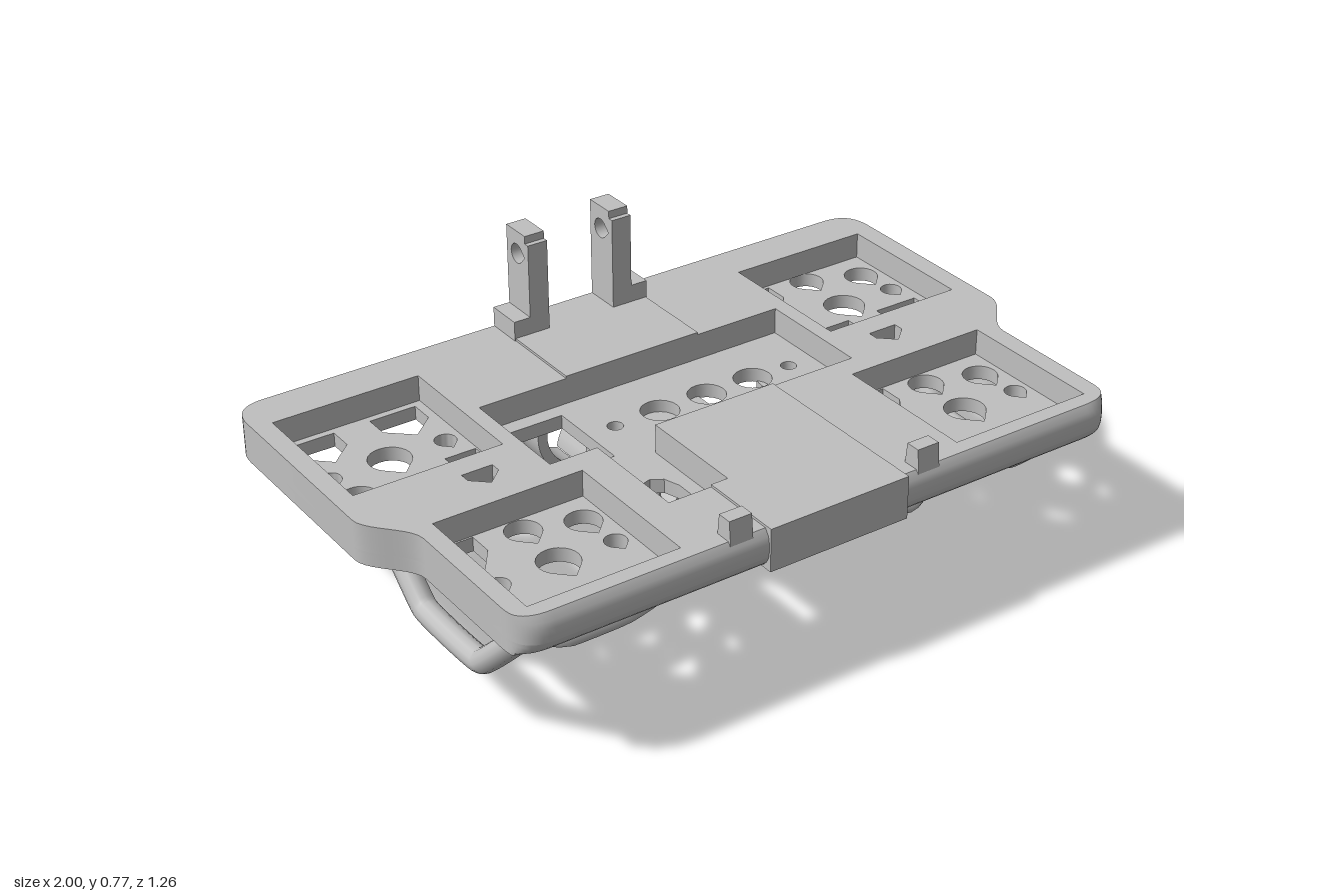
import * as THREE from 'three';
import { toCreasedNormals } from 'three/addons/utils/BufferGeometryUtils.js';

const grey = new THREE.MeshStandardMaterial({ color: 0xc0c0c0 });
grey.name = 'grey';

const BOTTOM = 0.365, FLOOR = 0.405, TOP = 0.48;
const RING_Y = 0.152, RING_R = 0.152, RING_IN = 0.122;

// Plan points are [x, z]; shapes lie flat after the rotation in slab()
const plan = pts => pts.map(([x, z]) => new THREE.Vector2(x, -z));
const path = pts => new THREE.Path(plan(pts));
const rect = (x0, x1, z0, z1) => path([[x0, z0], [x1, z0], [x1, z1], [x0, z1]]);

// Round hole with a pointed end towards +z
function dropPoints(cx, cz, r) {
  const pts = [[cx, cz + r * 1.41]];
  for (let i = 0; i <= 18; i++) {
    const a = Math.PI / 4 + (i / 18) * 1.5 * Math.PI;
    pts.push([cx + r * Math.sin(a), cz + r * Math.cos(a)]);
  }
  return pts;
}
const drop = (x, z, r) => path(dropPoints(x, z, r));
const round = (x, z, r) => new THREE.Path().absarc(x, -z, r, 0, Math.PI * 2);

// Five-sided hole: flat at the back, pointed at the front
const pentagon = (x0, x1, z0, z1, z2) =>
  path([[x0, z0], [x1, z0], [x1, z1], [(x0 + x1) / 2, z2], [x0, z1]]);

// Plate outline (counter-clockwise), wide at the back and stepping in towards the front
function outline() {
  const s = new THREE.Shape();
  s.moveTo(0.91, 0.632);
  s.lineTo(-0.91, 0.632);
  s.quadraticCurveTo(-1, 0.632, -1, 0.54);
  s.lineTo(-1, -0.01);
  s.bezierCurveTo(-1, -0.07, -0.9, -0.12, -0.9, -0.18);
  s.lineTo(-0.9, -0.53);
  s.quadraticCurveTo(-0.9, -0.622, -0.81, -0.622);
  s.lineTo(0.81, -0.622);
  s.quadraticCurveTo(0.9, -0.622, 0.9, -0.53);
  s.lineTo(0.9, -0.18);
  s.bezierCurveTo(0.9, -0.12, 1, -0.07, 1, -0.01);
  s.lineTo(1, 0.54);
  s.quadraticCurveTo(1, 0.632, 0.91, 0.632);
  return s;
}

// One layer of the plate; the front edge is rounded, more so underneath
function slab(holes, y0, y1) {
  const shape = outline();
  shape.holes.push(...holes);
  const geo = new THREE.ExtrudeGeometry(shape, { depth: y1 - y0, steps: 4, bevelEnabled: false, curveSegments: 10 });
  geo.rotateX(-Math.PI / 2).translate(0, y0, 0);
  const p = geo.attributes.position, mid = (BOTTOM + TOP) / 2, half = (TOP - BOTTOM) / 2;
  for (let i = 0; i < p.count; i++) {
    const z = p.getZ(i);
    const t = THREE.MathUtils.clamp((z - 0.565) / 0.057, 0, 1);
    const k = (p.getY(i) - mid) / half;
    const inset = k > 0 ? 0.018 : 0.048;
    p.setZ(i, z - t * inset * (1 - Math.sqrt(Math.max(0, 1 - k * k))));
  }
  return toCreasedNormals(geo, 0.6);
}

// Curved shell around the clamp axis; spread(z) gives its half angle from the top
function shell(z0, z1, spread, steps) {
  const geo = new THREE.BoxGeometry(1, 1, 1, 48, 1, steps);
  const p = geo.attributes.position;
  for (let i = 0; i < p.count; i++) {
    const z = THREE.MathUtils.lerp(z0, z1, p.getZ(i) + 0.5);
    const a = p.getX(i) * 2 * spread(z);
    const r = p.getY(i) > 0 ? RING_R : RING_IN;
    p.setXYZ(i, r * Math.sin(a), RING_Y + r * Math.cos(a), z);
  }
  return toCreasedNormals(geo, 0.6);
}

// Bridge between clamp and plate, hollowed along the bottom; flare widens its top
function bridge(flare, z0, z1) {
  const s = new THREE.Shape();
  s.moveTo(0.13 + flare, 0.37);
  s.lineTo(-0.13 - flare, 0.37);
  if (flare) s.lineTo(-0.13, 0.32);
  s.lineTo(-0.13, 0.237);
  s.absarc(0, RING_Y, 0.123, Math.PI - 0.76, 0.76, true);
  s.lineTo(0.13, 0.237);
  if (flare) s.lineTo(0.13, 0.32);
  s.closePath();
  const geo = new THREE.ExtrudeGeometry(s, { depth: z1 - z0, bevelEnabled: false, curveSegments: 20 });
  return toCreasedNormals(geo.translate(0, 0, z0), 0.6);
}

export function createModel() {
  const group = new THREE.Group();
  const add = (name, geo) => {
    const mesh = new THREE.Mesh(geo, grey);
    mesh.name = name;
    group.add(mesh);
    return mesh;
  };
  const box = (name, x0, x1, y0, y1, z0, z1) =>
    add(name, new THREE.BoxGeometry(x1 - x0, y1 - y0, z1 - z0)
      .translate((x0 + x1) / 2, (y0 + y1) / 2, (z0 + z1) / 2));
  const rod = (name, r, pts) => {
    const curve = new THREE.CatmullRomCurve3(pts.map(p => new THREE.Vector3(...p)), false, 'catmullrom', 0.15);
    add(name, new THREE.TubeGeometry(curve, 48, r, 12));
  };

  // Holes passing through both layers
  const through = () => [-0.637, 0.637].map(x => pentagon(x - 0.044, x + 0.044, -0.015, 0.015, 0.055));

  // Upper layer with the sunken trays
  add('plateRim', slab([
    rect(-0.945, -0.52, -0.51, -0.085), rect(0.515, 0.94, -0.51, -0.085),
    rect(-0.85, -0.425, 0.135, 0.56), rect(0.418, 0.845, 0.135, 0.56),
    path([[-0.475, -0.275], [0.47, -0.275], [0.47, 0.065], [-0.16, 0.065],
      [-0.16, 0.38], [-0.335, 0.38], [-0.335, 0.065], [-0.475, 0.065]]),
    ...through()], FLOOR, TOP));

  // Lower layer with the small cut-outs
  const drops = [
    [-0.9, -0.295, 0.03], [-0.567, -0.295, 0.03], [-0.73, -0.295, 0.058], [-0.88, -0.18, 0.048], [-0.73, -0.12, 0.048],
    [0.727, -0.47, 0.048], [0.877, -0.41, 0.048], [0.565, -0.295, 0.03], [0.895, -0.295, 0.03], [0.727, -0.295, 0.058],
    [-0.63, 0.185, 0.048], [-0.485, 0.23, 0.048], [-0.8, 0.35, 0.03], [-0.47, 0.35, 0.03], [-0.63, 0.345, 0.056],
    [0.63, 0.185, 0.048], [0.78, 0.23, 0.048], [0.465, 0.35, 0.03], [0.8, 0.35, 0.03], [0.63, 0.345, 0.056],
  ].map(d => drop(...d));
  const pentagons = [
    [-0.915, -0.785, -0.49, -0.42, -0.36], [-0.68, -0.545, -0.49, -0.42, -0.36], [-0.615, -0.525, -0.215, -0.15, -0.09],
    [0.518, 0.615, -0.5, -0.43, -0.365], [0.545, 0.68, -0.215, -0.17, -0.105], [0.78, 0.915, -0.215, -0.17, -0.105],
    [-0.845, -0.745, 0.14, 0.21, 0.28], [0.42, 0.52, 0.14, 0.21, 0.28],
  ].map(d => pentagon(...d));
  const rounds = [[-0.17, 0.022], [-0.03, 0.053], [0.12, 0.053], [0.27, 0.053], [0.39, 0.022]]
    .map(([x, r]) => round(x, -0.105, r));
  add('plateFloor', slab([
    ...drops, ...pentagons, ...rounds, ...through(),
    rect(-0.47, -0.255, -0.23, 0.02),
    path([[-0.325, 0.378], [-0.2, 0.378], [-0.2, 0.23], [-0.215, 0.185], [-0.245, 0.165],
      [-0.28, 0.175], [-0.305, 0.21]]),
  ], BOTTOM, FLOOR));

  // Slightly raised middle panels and the square front block
  box('backPanel', -0.21, 0.21, TOP - 0.01, 0.487, -0.632, -0.275);
  box('middlePanel', -0.16, 0.21, TOP - 0.01, 0.487, 0.065, 0.38);
  box('frontPanel', -0.21, 0.21, TOP - 0.01, 0.487, 0.38, 0.575);
  box('frontBlock', -0.21, 0.21, BOTTOM, 0.487, 0.565, 0.627);

  for (const s of [-1, 1]) {
    // Upright with cross hole, and its outer foot
    const post = new THREE.Shape([[-0.632, 0.46], [-0.525, 0.46], [-0.525, 0.75], [-0.54, 0.75],
      [-0.54, 0.772], [-0.632, 0.772]].map(p => new THREE.Vector2(...p)));
    post.holes.push(new THREE.Path(dropPoints(0, 0, 0.028)
      .map(([a, b]) => new THREE.Vector2(-0.583 + b, 0.705 + a))));
    const postGeo = new THREE.ExtrudeGeometry(post, { depth: 0.06, bevelEnabled: false });
    postGeo.rotateY(-Math.PI / 2).translate(s * 0.133 + 0.03, 0, 0);
    add('post', toCreasedNormals(postGeo, 0.6));
    box('postFoot', s * 0.187 - 0.026, s * 0.187 + 0.026, 0.46, 0.537, -0.632, -0.525);

    // Tapered locating peg
    const peg = box('frontPeg', s * 0.285 - 0.033, s * 0.285 + 0.033, 0.47, 0.537, 0.558, 0.613);
    const p = peg.geometry.attributes.position;
    for (let i = 0; i < p.count; i++) if (p.getY(i) > 0.5) p.setZ(i, 0.586 + (p.getZ(i) - 0.586) * 0.75);
    peg.geometry.computeVertexNormals();

    // Bent rods fanning out from the clamp, ending differently on each side
    const inner = [[s * 0.1, 0.32, -0.06], [s * 0.24, 0.285, 0.09], [s * 0.33, 0.19, 0.17], [s * 0.45, 0.183, 0.2]];
    const outer = [[s * 0.1, 0.305, -0.05], [s * 0.24, 0.28, 0.16], [s * 0.33, 0.19, 0.32], [s * 0.45, 0.183, 0.35]];
    rod('innerRod', 0.028, inner.concat(s < 0
      ? [[-0.65, 0.183, 0.16], [-0.83, 0.375, 0.0]]
      : [[0.58, 0.183, 0.18], [0.635, 0.19, 0.07], [0.68, 0.375, -0.13]]));
    rod('outerRod', 0.028, outer.concat(s < 0
      ? [[-0.62, 0.183, 0.35], [-0.7, 0.2, 0.28], [-0.84, 0.375, 0.1]]
      : [[0.58, 0.183, 0.28], [0.79, 0.195, 0.2]]));

    // Side guard loop under the plate edge
    const x = s < 0 ? -0.85 : 0.79;
    rod('sideLoop', 0.033, [[x, 0.375, 0.53], [x, 0.2, 0.34], [x, 0.2, 0.07], [x, 0.375, -0.13]]);
  }
  box('edgeTab', -0.93, -0.87, 0.325, 0.37, -0.11, -0.05);

  // Hollow screw bosses under the plate
  const ringProfile = [[0.025, 0.27], [0.05, 0.27], [0.05, 0.31], [0.075, 0.31], [0.075, 0.368], [0.025, 0.368], [0.025, 0.27]];
  for (const bx of [-0.17, 0.38]) {
    const geo = new THREE.LatheGeometry(ringProfile.map(q => new THREE.Vector2(...q)), 28);
    add('screwBoss', toCreasedNormals(geo.translate(bx, 0, -0.11), 0.6));
  }

  // Clamp: open back ring, cradle cut away in a sweep, and short side strip
  const open = Math.PI - 0.21;
  const angleAt = y => Math.acos(THREE.MathUtils.clamp((y - RING_Y) / RING_R, -1, 1));
  add('backRing', shell(-0.632, -0.525, () => open, 1));
  add('frontCradle', shell(-0.3, 0.085, z => {
    const t = THREE.MathUtils.clamp((-0.02 - z) / 0.28, 0, 1);
    return Math.min(open, angleAt(0.235 * Math.pow(t, 1.35)));
  }, 32));
  add('clampStrip', shell(-0.43, -0.25, () => angleAt(0.178), 1));
  add('spine', bridge(0, -0.53, -0.03));
  add('backGusset', bridge(0.07, -0.632, -0.525));

  return group;
}
